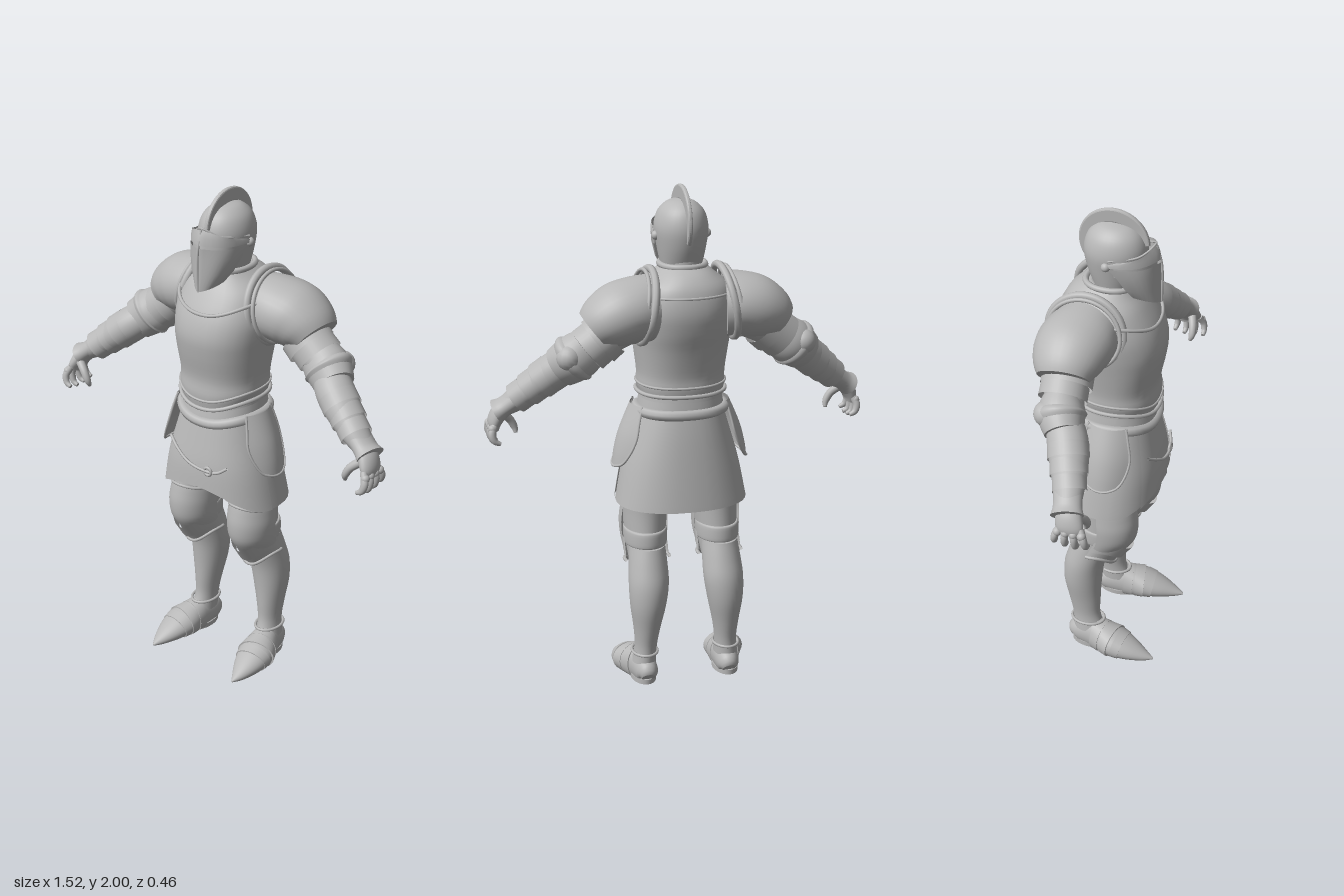
import * as THREE from 'three';

const steel = new THREE.MeshStandardMaterial({ color: 0xb8b8b8, side: THREE.DoubleSide });
steel.name = 'steel';
const V = (x, y, z) => new THREE.Vector3(x, y, z);
const N = 32;

function mesh(parent, name, geo) {
  const m = new THREE.Mesh(geo, steel);
  m.name = name;
  parent.add(m);
  return m;
}

// Catmull-Rom resampling of rows of numbers
function smooth(rows, steps) {
  const out = [], at = i => rows[Math.min(rows.length - 1, Math.max(0, i))];
  for (let i = 0; i < rows.length - 1; i++) for (let s = 0; s < steps; s++) {
    const t = s / steps;
    out.push(rows[i].map((b, k) => {
      const a = at(i - 1)[k], c = at(i + 1)[k], d = at(i + 2)[k];
      return b + 0.5 * t * (c - a + t * (2 * a - 5 * b + 4 * c - d + t * (3 * (b - c) + d - a)));
    }));
  }
  out.push(rows[rows.length - 1]);
  return out;
}

// Skin over rings of points, with optional end caps
function skin(rings, closed = true, cap = true) {
  const n = rings[0].length, pos = [], idx = [];
  rings.forEach(r => r.forEach(p => pos.push(p.x, p.y, p.z)));
  for (let j = 0; j < rings.length - 1; j++) for (let i = 0; i < (closed ? n : n - 1); i++) {
    const a = j * n + i, b = j * n + (i + 1) % n;
    idx.push(a, b, b + n, a, b + n, a + n);
  }
  if (closed && cap) [rings[0], rings[rings.length - 1]].forEach((r, e) => {
    const base = pos.length / 3, c = V(0, 0, 0);
    r.forEach(p => { pos.push(p.x, p.y, p.z); c.addScaledVector(p, 1 / n); });
    pos.push(c.x, c.y, c.z);
    for (let i = 0; i < n; i++) {
      const a = base + i, b = base + (i + 1) % n;
      idx.push(base + n, e ? a : b, e ? b : a);
    }
  });
  const g = new THREE.BufferGeometry();
  g.setAttribute('position', new THREE.Float32BufferAttribute(pos, 3));
  g.setIndex(idx);
  g.computeVertexNormals();
  return g;
}

// Level ring from a row [y, cx, rx, zFront, zBack, frontLift]
function level([y, cx, rx, zf, zb, lift = 0], pow = 2, a0 = 0, a1 = Math.PI * 2) {
  const full = a1 - a0 > 6.28, out = [], cz = (zf + zb) / 2, rz = (zf - zb) / 2;
  const f = t => Math.sign(t) * Math.pow(Math.abs(t), 2 / pow);
  for (let i = 0; i < (full ? N : N + 1); i++) {
    const a = a0 + (a1 - a0) * i / N, s = Math.sin(a), c = Math.cos(a);
    out.push(V(cx + rx * f(s), y + lift * Math.max(0, c) ** 3, cz + rz * f(c)));
  }
  return out;
}
function body(parent, name, rows, { pow = 2, arc = [0, Math.PI * 2], cap = true } = {}) {
  const full = arc[1] - arc[0] > 6.28;
  const padded = rows.map(r => [...r, 0].slice(0, 6)); // lift is 0 where left out
  return mesh(parent, name, skin(smooth(padded, 4).map(r => level(r, pow, ...arc)), full, cap));
}

// Tube-like part along rows [x, y, z, ru, rv]; floor flattens a sole
function limb(parent, name, rows, { ref = V(0, 0, 1), cap = true, floor = -9 } = {}) {
  const rs = smooth(rows, 4), P = rs.map(r => V(r[0], r[1], r[2]));
  const rings = rs.map((r, j) => {
    const t = P[Math.min(j + 1, P.length - 1)].clone().sub(P[Math.max(j - 1, 0)]).normalize();
    const u = ref.clone().addScaledVector(t, -ref.dot(t)).normalize(), v = t.clone().cross(u);
    return Array.from({ length: N }, (_, i) => {
      const a = i / N * Math.PI * 2;
      const p = P[j].clone().addScaledVector(u, r[3] * Math.cos(a)).addScaledVector(v, r[4] * Math.sin(a));
      p.y = Math.max(floor, p.y);
      return p;
    });
  });
  return mesh(parent, name, skin(rings, true, cap));
}

function rope(parent, name, pts, r, closed = false) {
  return mesh(parent, name, new THREE.TubeGeometry(new THREE.CatmullRomCurve3(pts, closed), 48, r, 8, closed));
}
function ball(parent, name, p, r) {
  mesh(parent, name, new THREE.SphereGeometry(r, 16, 12)).position.copy(p);
}

function buildHead(g) {
  body(g, 'neck', [[1.62, 0, .085, .08, -.12], [1.68, 0, .075, .07, -.1], [1.77, 0, .075, .07, -.095]]);
  body(g, 'helmetSkull', [[1.7, 0, .082, .075, -.09], [1.77, 0, .095, .1, -.115], [1.84, 0, .104, .118, -.125],
    [1.9, 0, .088, .1, -.108], [1.935, 0, .052, .06, -.07], [1.946, 0, .012, .01, -.03]]);
  // crest: flat crescent standing on the skull
  const s = new THREE.Shape();
  s.absarc(0, 0, .132, .1, 3.7, false);
  s.absarc(0, -.012, .1, 3.7, .1, true);
  const crest = new THREE.ExtrudeGeometry(s, { depth: .006, bevelSize: .006, bevelThickness: .006, bevelSegments: 2, curveSegments: 32 });
  crest.translate(0, 0, -.003).rotateY(-Math.PI / 2);
  mesh(g, 'helmetCrest', crest).position.set(0, 1.862, -.01);
  // pointed plates from rows [y, halfWidth, zSide, zFront, centreLift]
  const prow = (name, rows) => mesh(g, name, skin(rows.map(([y, w, zs, zf, lift]) =>
    Array.from({ length: 17 }, (_, i) => {
      const k = i / 8 - 1, q = Math.abs(k);
      return V(w * Math.sin(k * Math.PI / 2), y + lift * (1 - q), zf + (zs - zf) * (0.45 * q + 0.55 * q ** 3));
    })), false));
  prow('visor', [[1.665, .05, .08, .177, -.025], [1.71, .08, .06, .174, 0], [1.77, .1, .03, .172, 0], [1.805, .107, 0, .174, .008]]);
  prow('faceRecess', [[1.77, .097, .02, .16, 0], [1.84, .102, .02, .15, .02]]);
  prow('browPlate', [[1.812, .11, -.01, .172, .012], [1.825, .108, .0, .166, .032], [1.838, .1, .04, .152, .044]]);
  rope(g, 'browRim', [V(-.107, 1.838, 0), V(-.06, 1.852, .105), V(0, 1.885, .15), V(.06, 1.852, .105), V(.107, 1.838, 0)], .004);
  rope(g, 'noseRidge', [V(0, 1.88, .152), V(0, 1.8, .173), V(0, 1.645, .175)], .005);
  for (const d of [-1, 1]) {
    rope(g, 'visorRidge', [V(d * .09, 1.79, .072), V(d * .045, 1.765, .135), V(d * .035, 1.7, .137), V(d * .04, 1.665, .11)], .004);
    ball(g, 'visorPivot', V(d * .1, 1.81, -.01), .018);
  }
}

function buildTorso(g) {
  const pow = 2.25;
  body(g, 'cuirass', [[1.195, 0, .165, .165, -.145, -.035], [1.23, 0, .173, .172, -.15, -.02], [1.28, 0, .172, .168, -.152],
    [1.38, 0, .184, .187, -.175], [1.46, 0, .194, .194, -.2], [1.54, 0, .198, .172, -.213], [1.62, 0, .175, .125, -.2],
    [1.67, 0, .12, .085, -.165], [1.7, 0, .085, .068, -.12]], { pow });
  rope(g, 'chestTrim', level([1.6, 0, .186, .168, -.21, -.05], pow, -1.3, 1.3), .007);
  rope(g, 'backTrim', level([1.6, 0, .182, .14, -.206], pow, 1.9, 4.38), .005);
  const hoop = (name, row, r) => rope(g, name, level(row, pow), r, true);
  hoop('collarRoll', [1.7, 0, .086, .075, -.118], .012);
  hoop('cuirassRim', [1.2, 0, .174, .17, -.15, -.042], .008);
  hoop('cuirassUpperRim', [1.235, 0, .174, .172, -.152, -.042], .005);
  // overlapping waist plates
  for (let i = 0; i < 3; i++) body(g, 'waistPlate', [[1.115 + i * .03, 0, .172 - i * .004, .162, -.142, -.025],
    [1.165 + i * .03, 0, .16, .15, -.135, -.02]], { pow, cap: false });
  hoop('belt', [1.125, 0, .172, .158, -.14, -.03], .021);
}

const skirtRows = [[.745, 0, .262, .2, -.196, .085], [.9, 0, .232, .194, -.175, .02], [1.03, 0, .195, .172, -.155, 0], [1.13, 0, .165, .15, -.135, 0]];
function buildSkirt(g) {
  body(g, 'skirt', skirtRows, { pow: 2.25, cap: false });
  const grow = d => skirtRows.map(([y, c, rx, zf, zb, l]) => [y, c, rx + d, zf + d, zb - d, l]);
  body(g, 'skirtFrontFold', grow(.007), { pow: 2.25, arc: [-.72, .02] });
  body(g, 'skirtSideFold', grow(.005), { pow: 2.25, arc: [.5, 1.4] });
  const onSkirt = (x, y) => V(x, y, .2 * Math.pow(1 - Math.pow(Math.abs(x) / .236, 2.25), 1 / 2.25) + .006);
  rope(g, 'hangingCord', [[-.14, 1], [-.09, .965], [-.03, .93], [.04, .915], [.1, .915], [.14, .94]].map(p => onSkirt(...p)), .006);
  const ring = mesh(g, 'cordRing', new THREE.TorusGeometry(.016, .006, 8, 20));
  ring.position.copy(onSkirt(.065, .915));
}

function buildArm(g) {
  // shoulder dome with its raised inner rim
  limb(g, 'pauldron', [[.155, 1.545, -.07, .138, .128], [.21, 1.545, -.08, .146, .123], [.27, 1.53, -.087, .142, .122],
    [.325, 1.503, -.087, .125, .106], [.362, 1.475, -.084, .1, .084]]);
  const rim = (name, x, r, k) => rope(g, name, Array.from({ length: 24 }, (_, i) => {
    const a = i / 24 * Math.PI * 2, c = Math.cos(a);
    return V(x - .025 * c, 1.555 + .14 * k * c, -.068 + .148 * k * Math.sin(a));
  }), r, true);
  rim('pauldronRim', .16, .015, 1);
  rim('pauldronInnerRim', .185, .008, .97);
  limb(g, 'upperArm', [[.22, 1.51, -.08, .09, .09], [.34, 1.44, -.08, .08, .075], [.45, 1.36, -.05, .068, .064]]);
  for (let i = 0; i < 2; i++) {
    const x = .305 + i * .04, y = 1.462 - i * .03;
    limb(g, 'shoulderLame', [[x, y, -.082, .097 - i * .006, .094 - i * .005], [x + .042, y - .034, -.078, .098 - i * .006, .097 - i * .006]], { cap: false });
  }
  // elbow guard
  limb(g, 'elbowGuard', [[.39, 1.4, -.073, .076, .086], [.42, 1.377, -.068, .087, .092], [.45, 1.355, -.057, .086, .09], [.485, 1.327, -.036, .074, .082]]);
  limb(g, 'elbowRidge', [[.425, 1.376, -.068, .086, .09], [.437, 1.366, -.064, .095, .1], [.45, 1.354, -.058, .086, .09]]);
  ball(g, 'elbowPoint', V(.465, 1.38, -.11), .05);
  // forearm with stepped plates and flared cuff
  limb(g, 'forearm', [[.45, 1.35, -.05, .068, .068], [.52, 1.295, -.008, .077, .073], [.61, 1.22, .028, .064, .056], [.69, 1.16, .05, .046, .036]]);
  for (let i = 0; i < 3; i++) {
    const x = .515 + i * .045, y = 1.3 - i * .037, z = -.01 + i * .018, k = 1 - i * .09;
    limb(g, 'forearmPlate', [[x, y, z, .077 * k, .073 * k], [x + .04, y - .033, z + .016, .078 * k, .073 * k]], { cap: false });
  }
  limb(g, 'gauntletCuff', [[.64, 1.2, .035, .056, .042], [.69, 1.162, .05, .054, .038], [.718, 1.143, .058, .062, .046]]);
  limb(g, 'palm', [[.68, 1.165, .048, .045, .032], [.71, 1.135, .06, .05, .032], [.728, 1.1, .07, .052, .027], [.73, 1.075, .075, .046, .02]]);
  for (let i = 0; i < 4; i++) {
    const z = .035 + i * .026, s = [0, .008, .01, .002][i], spread = (i - 1.5) * .01;
    limb(g, 'finger', [[.728, 1.1, z, .013, .014], [.745, 1.065, z + spread, .014, .015], [.738, 1.035 - s, z + spread * 1.4, .012, .013],
      [.715, 1.022 - s, z + spread * 1.5, .008, .008]]);
    ball(g, 'knuckle', V(.742, 1.08, z + spread * .5), .017);
  }
  limb(g, 'thumb', [[.7, 1.125, .09, .018, .018], [.665, 1.095, .105, .016, .016], [.645, 1.06, .108, .014, .014], [.64, 1.035, .1, .007, .007]]);
}

function buildLeg(g) {
  body(g, 'thigh', [[.5, .15, .07, .04, -.11], [.6, .148, .08, .115, -.105], [.7, .145, .087, .122, -.1], [.8, .14, .09, .11, -.1], [.97, .1, .09, .1, -.1]]);
  body(g, 'greave', [[.08, .172, .048, .005, -.13], [.15, .167, .044, -.018, -.133], [.23, .164, .053, -.018, -.15],
    [.33, .16, .071, -.014, -.17], [.42, .155, .08, -.004, -.168], [.5, .152, .077, .02, -.145], [.57, .15, .072, .05, -.12]]);
  // knee guard with pointed lower plates and a strap behind
  const span = [-1.75, 1.75], front = { arc: span };
  body(g, 'kneeGuard', [[.555, .15, .088, .085, -.1, -.03], [.6, .15, .094, .128, -.1, -.01], [.66, .15, .097, .138, -.1], [.71, .148, .094, .13, -.1, .01], [.74, .147, .091, .122, -.1, .015]], front);
  for (let i = 0; i < 2; i++) body(g, 'kneePlate', [[.515 + i * .03, .15, .09, .045 + i * .035, -.12, -.055], [.565 + i * .03, .15, .087, .085 + i * .035, -.11, -.045]], front);
  rope(g, 'kneeTopRim', level([.735, .147, .091, .123, -.1, .015], 2, ...span), .006);
  rope(g, 'kneeLowerRim', level([.515, .15, .09, .046, -.12, -.058], 2, ...span), .007);
  body(g, 'kneeStrap', [[.572, .149, .08, .1, -.11], [.58, .149, .085, .105, -.117], [.63, .149, .086, .11, -.115], [.638, .149, .08, .11, -.107]]);
  // pointed plated shoe
  const shoe = [[.17, .03, -.135, .025, .028], [.17, .045, -.11, .055, .045], [.178, .05, -.03, .075, .055], [.196, .045, .05, .058, .074],
    [.204, .03, .12, .042, .06], [.209, .015, .185, .022, .031], [.21, .008, .23, .004, .004]];
  const opt = { ref: V(0, 1, 0), floor: 0 };
  limb(g, 'shoe', shoe, opt);
  for (const k of [2, 2.6, 3.2]) {
    const i = Math.floor(k), at = t => shoe[i].map((v, c) => v + (shoe[i + 1][c] - v) * t);
    const a = at(k - i), b = at(k - i + .5);
    for (const c of [3, 4]) { a[c] += .004; b[c] += .005; }
    limb(g, 'shoePlate', [a, b], opt);
  }
  body(g, 'sole', [[0, .173, .05, .03, -.135], [.02, .173, .05, .03, -.135]]);
  rope(g, 'ankleRim', level([.125, .17, .05, .0, -.137]), .006, true);
}

// Curved hip plate hanging from the belt, from rows [y, halfWidth, x]
function buildHipPlate(g) {
  const rows = [[.898, .02, .262], [.915, .065, .26], [.96, .09, .253], [1.02, .1, .238], [1.08, .09, .215], [1.145, .075, .186]];
  const lines = smooth(rows, 3).map(([y, w, x]) => Array.from({ length: 13 }, (_, i) => {
    const d = w * (i / 6 - 1);
    return V(x + .012 - 5 * d * d, y, .02 - d);
  }));
  mesh(g, 'hipPlate', skin(lines, false));
  rope(g, 'hipPlateRim', [...lines.map(l => l[0]).reverse(), ...lines.map(l => l[12])], .005);
}

export function createModel() {
  const model = new THREE.Group();
  model.name = 'armouredFigure';
  for (const [name, build] of [['head', buildHead], ['torso', buildTorso], ['skirtGroup', buildSkirt]]) {
    const g = new THREE.Group();
    g.name = name;
    build(g);
    model.add(g);
  }
  for (const side of [1, -1]) for (const [name, build] of [['Arm', buildArm], ['Leg', buildLeg], ['HipPlate', buildHipPlate]]) {
    const g = new THREE.Group();
    g.name = (side > 0 ? 'left' : 'right') + name;
    build(g);
    g.scale.x = side;
    model.add(g);
  }
  return model;
}
